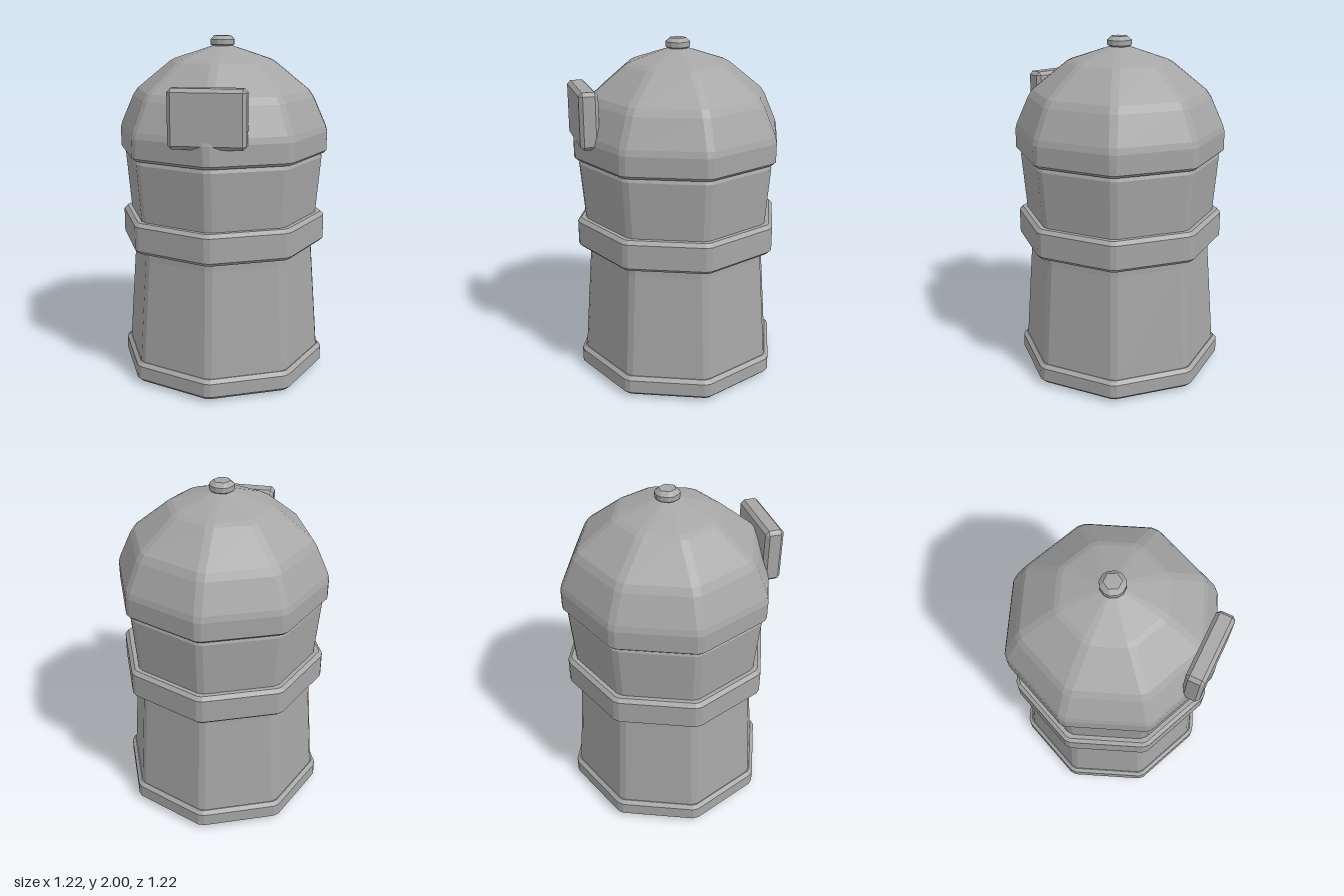
import * as THREE from 'three';
import { ConvexGeometry } from 'three/addons/geometries/ConvexGeometry.js';

// Stack of polygon rings with bevelled corners; rows are [corner radius, y, half bevel width]
function bevelledPrism(sides, rows) {
  const closed = [[0, rows[0][1], 0], ...rows, [0, rows[rows.length - 1][1], 0]];
  const rings = closed.map(([r, y, w]) => {
    const ring = [];
    for (let k = 0; k < sides; k++) {
      const a = (k / sides) * Math.PI * 2;
      for (const s of [-w, w]) {
        ring.push([r * Math.cos(a) - s * Math.sin(a), y, r * Math.sin(a) + s * Math.cos(a)]);
      }
    }
    return ring;
  });
  const pos = [];
  const n = sides * 2;
  for (let i = 0; i < rings.length - 1; i++) {
    for (let j = 0; j < n; j++) {
      const k = (j + 1) % n;
      const a = rings[i][j], b = rings[i][k], c = rings[i + 1][j], d = rings[i + 1][k];
      if (closed[i][0] > 0) pos.push(...a, ...c, ...b);
      if (closed[i + 1][0] > 0) pos.push(...b, ...c, ...d);
    }
  }
  const geo = new THREE.BufferGeometry();
  geo.setAttribute('position', new THREE.Float32BufferAttribute(pos, 3));
  geo.computeVertexNormals();
  return geo;
}

// Box with every edge and corner chamfered
function chamferedBox(w, h, d, c) {
  const half = [w / 2, h / 2, d / 2];
  const pts = [];
  for (const x of [-1, 1]) for (const y of [-1, 1]) for (const z of [-1, 1]) {
    for (let axis = 0; axis < 3; axis++) {
      const [px, py, pz] = half.map((v, i) => (i === axis ? v : v - c));
      pts.push(new THREE.Vector3(x * px, y * py, z * pz));
    }
  }
  return new ConvexGeometry(pts);
}

export function createModel() {
  const group = new THREE.Group();
  const grey = new THREE.MeshStandardMaterial({ color: 0xa6a6a6, flatShading: true });
  grey.name = 'plain grey';

  const add = (name, geo) => {
    const mesh = new THREE.Mesh(geo, grey);
    mesh.name = name;
    group.add(mesh);
    return mesh;
  };

  // Flared body with a narrow waist
  add('body', bevelledPrism(8, [
    [0.5, 0, 0.02], [0.52, 0.012, 0.02], [0.585, 0.12, 0.02], [0.537, 0.75, 0.02],
    [0.537, 0.8, 0.02], [0.557, 0.98, 0.02], [0.585, 1.31, 0.02], [0.575, 1.335, 0.02],
  ]));

  // Foot ring and waist band
  const bandProfile = (r, y0, y1) => [
    [r - 0.02, y0, 0.012], [r, y0 + 0.02, 0.018], [r, y1 - 0.02, 0.018], [r - 0.02, y1, 0.012],
  ];
  add('footRing', bevelledPrism(8, bandProfile(0.612, 0.015, 0.134)));
  add('waistBand', bevelledPrism(8, bandProfile(0.606, 0.8, 0.98)));

  // Domed lid
  add('domeLid', bevelledPrism(8, [
    [0.595, 1.333, 0.012], [0.612, 1.35, 0.018], [0.612, 1.46, 0.02], [0.602, 1.495, 0.022],
    [0.53, 1.655, 0.022], [0.503, 1.695, 0.022], [0.305, 1.855, 0.022], [0.275, 1.871, 0.02],
    [0.045, 1.946, 0.008],
  ]));

  // Six-sided knob on top
  add('topKnob', bevelledPrism(6, [
    [0.045, 1.932, 0.002], [0.068, 1.95, 0.016], [0.068, 1.978, 0.016], [0.047, 2, 0.002],
  ]));

  // Flat plate set into the front of the dome
  add('frontPlate', chamferedBox(0.418, 0.318, 0.107, 0.02)).position.set(0, 1.596, 0.554);

  return group;
}
